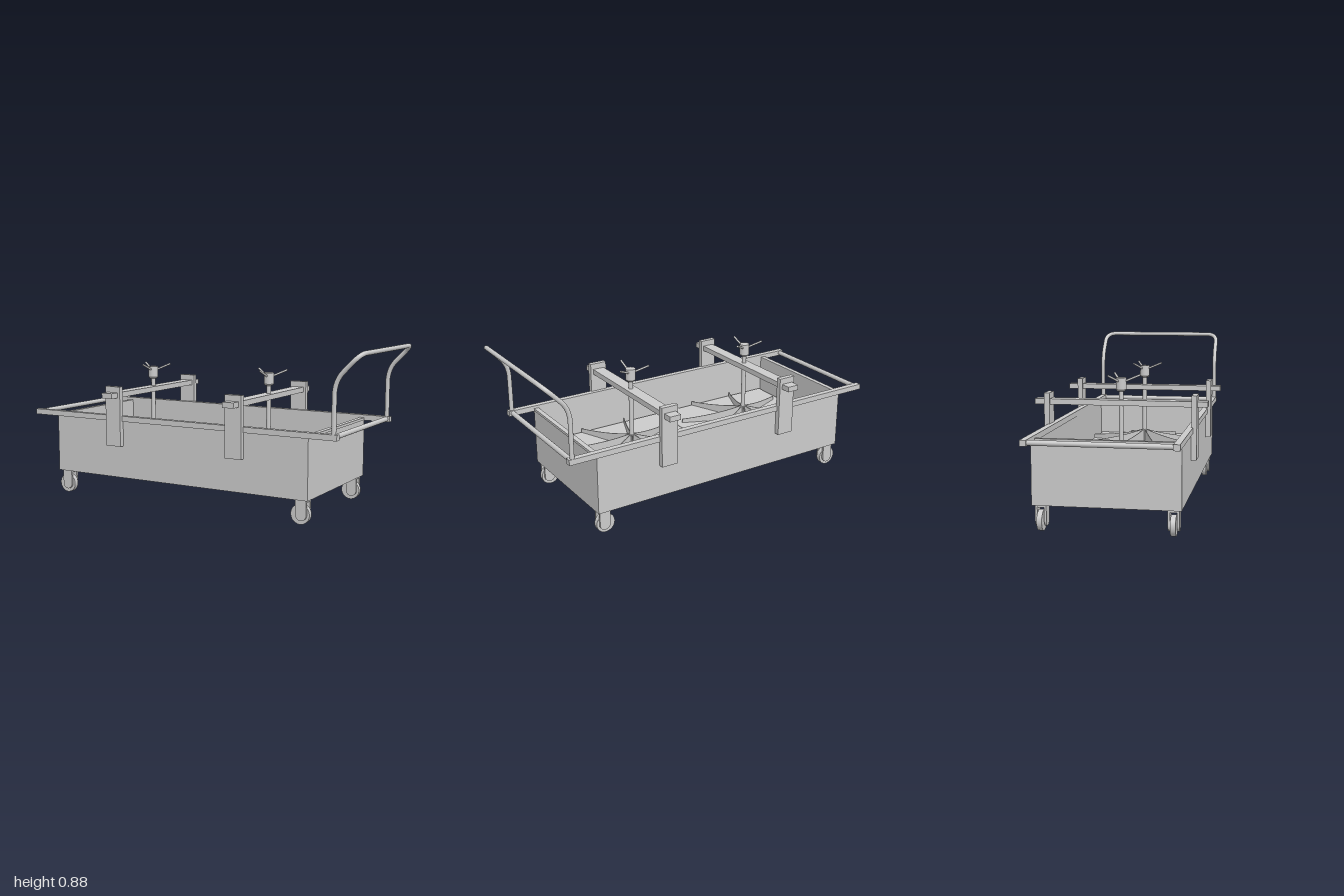
import * as THREE from 'three';

const steel = new THREE.MeshStandardMaterial({ color: 0xcbcbcb });
steel.name = 'grey steel';

function add(parent, name, geometry, x = 0, y = 0, z = 0) {
  const mesh = new THREE.Mesh(geometry, steel);
  mesh.name = name;
  mesh.position.set(x, y, z);
  parent.add(mesh);
  return mesh;
}

// Box given by its extents
function slab(parent, name, x0, x1, y0, y1, z0, z1) {
  return add(parent, name, new THREE.BoxGeometry(x1 - x0, y1 - y0, z1 - z0),
    (x0 + x1) / 2, (y0 + y1) / 2, (z0 + z1) / 2);
}

// Round bar between two points
function rod(parent, name, a, b, r) {
  const dir = b.clone().sub(a);
  const mesh = add(parent, name, new THREE.CylinderGeometry(r, r, dir.length(), 20));
  mesh.position.copy(a).add(b).multiplyScalar(0.5);
  mesh.quaternion.setFromUnitVectors(new THREE.Vector3(0, 1, 0), dir.normalize());
  return mesh;
}

const V = (x, y, z) => new THREE.Vector3(x, y, z);

// Open tub
function makeTub() {
  const tub = new THREE.Group();
  tub.name = 'tub';
  slab(tub, 'floor', -0.845, 0.725, 0.13, 0.142, -0.366, 0.366);
  for (const s of [-1, 1]) {
    const z = s * 0.356;
    slab(tub, 'sideWall', -0.845, 0.725, 0.142, 0.447, z - 0.01, z + 0.01);
  }
  slab(tub, 'leftEndWall', -0.845, -0.828, 0.142, 0.447, -0.346, 0.346);
  slab(tub, 'rightEndWall', 0.708, 0.725, 0.142, 0.447, -0.346, 0.346);
  return tub;
}

// Rails with the rims over the tub ends and round end bars
function makeFrame() {
  const frame = new THREE.Group();
  frame.name = 'frame';
  for (const s of [-1, 1]) {
    const z = s * 0.36;
    slab(frame, 'sideRail', -1, 0.879, 0.445, 0.475, z - 0.016, z + 0.016);
  }
  slab(frame, 'leftRim', -0.854, -0.828, 0.446, 0.46, -0.346, 0.346);
  slab(frame, 'rightRim', 0.707, 0.733, 0.446, 0.46, -0.346, 0.346);
  for (const x of [-0.978, 0.857]) {
    rod(frame, 'crossBar', V(x, 0.46, -0.35), V(x, 0.46, 0.35), 0.0135);
  }
  return frame;
}

// Bent push handle
function makeHandle() {
  const path = new THREE.CurvePath();
  const side = (s) => [V(0.857, 0.465, s * 0.362), V(0.857, 0.66, s * 0.362),
    V(0.857, 0.735, s * 0.362), V(0.902, 0.78, s * 0.362), V(0.942, 0.822, s * 0.362),
    V(0.988, 0.868, s * 0.362), V(0.988, 0.868, s * 0.298)];
  const a = side(1), b = side(-1);
  path.add(new THREE.LineCurve3(a[0], a[1]));
  path.add(new THREE.QuadraticBezierCurve3(a[1], a[2], a[3]));
  path.add(new THREE.LineCurve3(a[3], a[4]));
  path.add(new THREE.QuadraticBezierCurve3(a[4], a[5], a[6]));
  path.add(new THREE.LineCurve3(a[6], b[6]));
  path.add(new THREE.QuadraticBezierCurve3(b[6], b[5], b[4]));
  path.add(new THREE.LineCurve3(b[4], b[3]));
  path.add(new THREE.QuadraticBezierCurve3(b[3], b[2], b[1]));
  path.add(new THREE.LineCurve3(b[1], b[0]));
  const handle = new THREE.Group();
  handle.name = 'handle';
  add(handle, 'pushHandle', new THREE.TubeGeometry(path, 200, 0.012, 18));
  return handle;
}

// Press plate with eight radial ribs, screw and clamp beam
function makePress(x) {
  const press = new THREE.Group();
  press.name = 'press';
  press.position.x = x;
  slab(press, 'pressPlate', -0.375, 0.375, 0.24, 0.255, -0.334, 0.334);

  const rib = new THREE.Shape();
  rib.moveTo(0, 0);
  rib.lineTo(0.362, 0);
  rib.lineTo(0.362, 0.025);
  rib.quadraticCurveTo(0.15, 0.04, 0.012, 0.085);
  rib.lineTo(0, 0.085);
  const ribGeometry = new THREE.ExtrudeGeometry(rib, { depth: 0.004, bevelEnabled: false, curveSegments: 12 });
  ribGeometry.translate(0, 0, -0.002);
  for (let i = 0; i < 8; i++) {
    add(press, 'rib', ribGeometry, 0, 0.253, 0).rotation.y = Math.PI / 8 + i * Math.PI / 4;
  }

  // Screw with a three-armed knob
  rod(press, 'screw', V(0, 0.25, 0), V(0, 0.657, 0), 0.0125);
  add(press, 'knobHub', new THREE.CylinderGeometry(0.027, 0.027, 0.061, 32), 0, 0.6875, 0);
  add(press, 'knobTaper', new THREE.CylinderGeometry(0.027, 0.02, 0.009, 32), 0, 0.6525, 0);
  for (let i = 0; i < 3; i++) {
    const a = Math.PI / 2 + i * Math.PI * 2 / 3;
    const c = Math.cos(a), s = Math.sin(a);
    rod(press, 'knobArm', V(c * 0.015, 0.697, s * 0.015), V(c * 0.1, 0.733, s * 0.1), 0.0055);
  }

  slab(press, 'clampBeam', -0.033, 0.033, 0.576, 0.605, -0.448, 0.448);

  // Slotted clamp posts
  const post = new THREE.Shape();
  post.moveTo(-0.048, 0.308);
  post.lineTo(0.048, 0.308);
  post.lineTo(0.048, 0.637);
  post.lineTo(-0.048, 0.637);
  const slot = new THREE.Path();
  slot.moveTo(-0.033, 0.576);
  slot.lineTo(-0.033, 0.605);
  slot.lineTo(0.033, 0.605);
  slot.lineTo(0.033, 0.576);
  post.holes.push(slot);
  const postGeometry = new THREE.ExtrudeGeometry(post, { depth: 0.028, bevelEnabled: false });
  for (const z of [0.367, -0.395]) add(press, 'clampPost', postGeometry, 0, 0, z);
  return press;
}

// Caster: fork with rounded cheeks around a wheel
function makeCaster(x, z) {
  const caster = new THREE.Group();
  caster.name = 'caster';
  caster.position.set(x, 0, z);
  slab(caster, 'forkTop', -0.03, 0.03, 0.118, 0.131, -0.028, 0.028);
  const cheek = new THREE.Shape();
  cheek.moveTo(0.03, 0.131);
  cheek.lineTo(-0.03, 0.131);
  cheek.lineTo(-0.03, 0.052);
  cheek.absarc(0, 0.052, 0.03, Math.PI, Math.PI * 2, false);
  const cheekGeometry = new THREE.ExtrudeGeometry(cheek, { depth: 0.011, bevelEnabled: false, curveSegments: 20 });
  for (const cz of [0.017, -0.028]) add(caster, 'forkCheek', cheekGeometry, 0, 0, cz);
  const wheel = new THREE.CylinderGeometry(0.052, 0.052, 0.026, 40);
  add(caster, 'wheel', wheel, -0.01, 0.052, 0).rotation.x = Math.PI / 2;
  return caster;
}

export function createModel() {
  const model = new THREE.Group();
  model.name = 'pressCart';
  model.add(makeTub(), makeFrame(), makeHandle());
  for (const x of [-0.436, 0.317]) model.add(makePress(x));
  for (const x of [-0.798, 0.682]) {
    for (const z of [-0.325, 0.325]) model.add(makeCaster(x, z));
  }
  return model;
}
